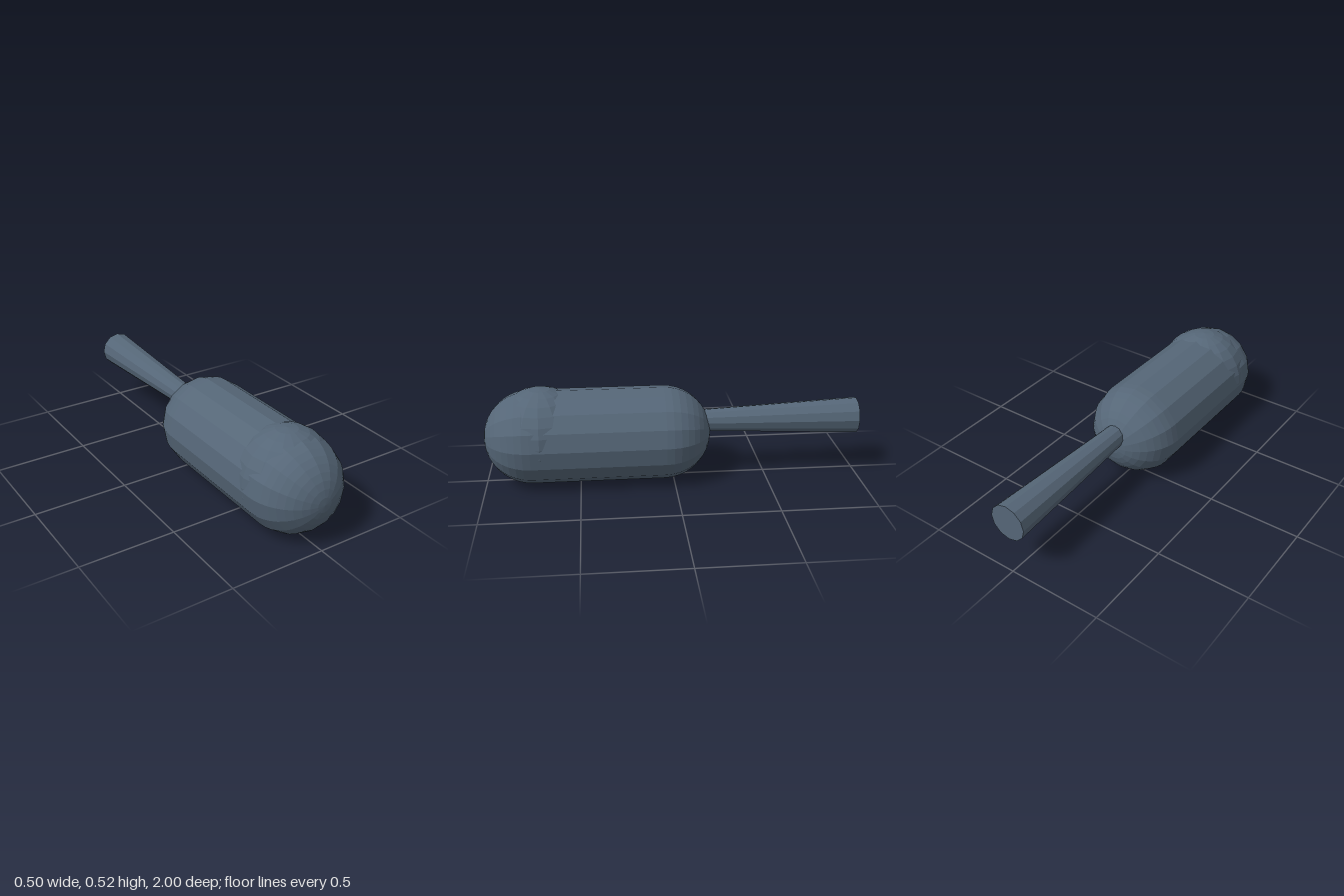
import * as THREE from 'three';

export function createModel() {
  const model = new THREE.Group();
  const slate = new THREE.MeshStandardMaterial({ color: 0x556677, flatShading: true });
  slate.name = 'slate';

  const add = (name, geometry, y, z) => {
    const mesh = new THREE.Mesh(geometry, slate);
    mesh.name = name;
    mesh.position.set(0, y, z);
    model.add(mesh);
    return mesh;
  };

  // Rounded body lying along z
  add('body', new THREE.CapsuleGeometry(0.25, 0.7, 10, 16).rotateX(Math.PI / 2), 0.25, 0.4);

  // Ball that rises slightly above the front of the body
  add('head', new THREE.SphereGeometry(0.25, 16, 14), 0.267, 0.7);

  // Tail flaring towards the back, its narrow end sunk into the body
  add('tail', new THREE.CylinderGeometry(0.056, 0.098, 0.9, 12).rotateX(Math.PI / 2), 0.308, -0.55);

  return model;
}
